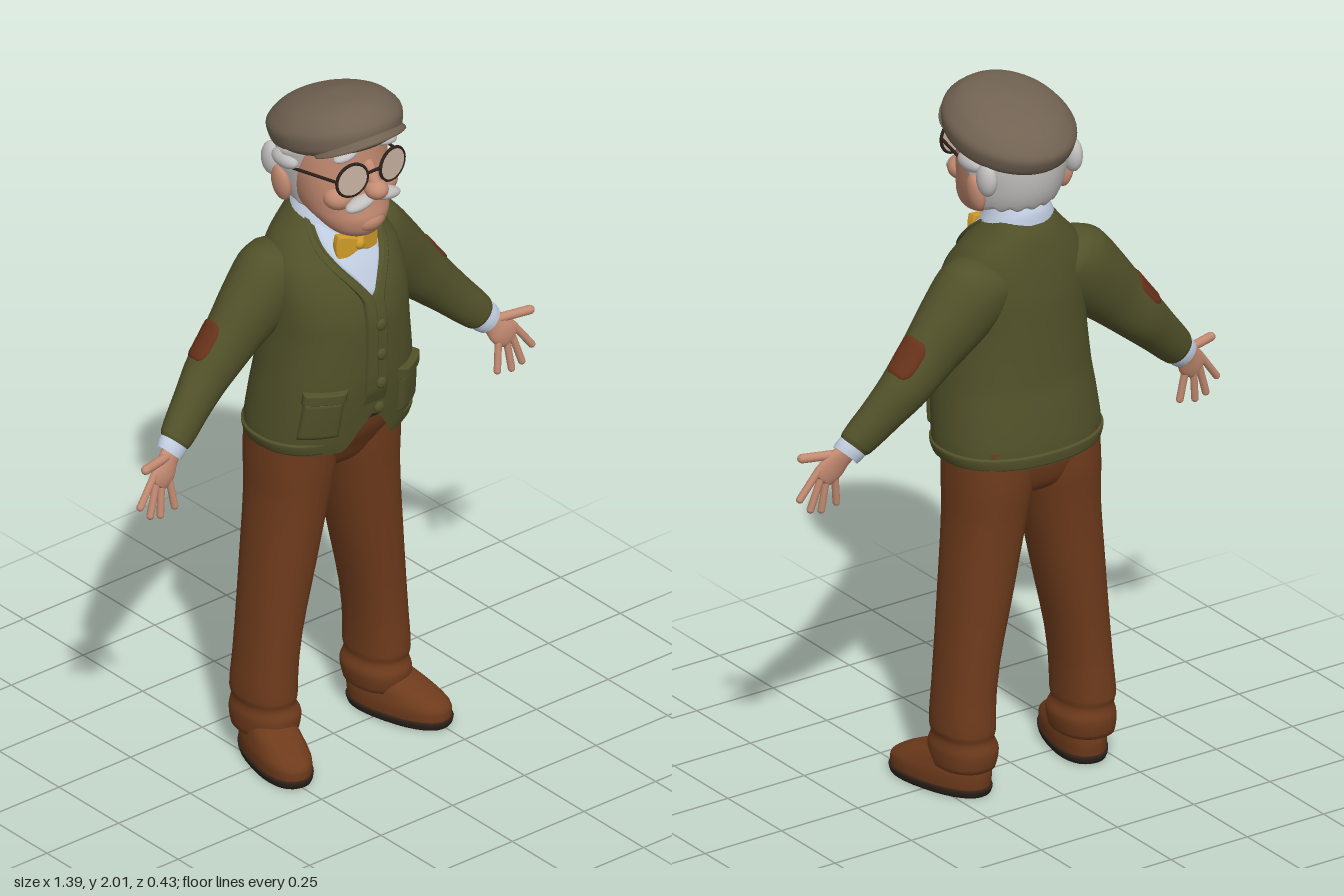
import * as THREE from 'three';
import { mergeVertices } from 'three/addons/utils/BufferGeometryUtils.js';

const TAU = Math.PI * 2;
const mat = (name, color, side = THREE.FrontSide) => {
  const m = new THREE.MeshStandardMaterial({ color, side });
  m.name = name;
  return m;
};

// Smooth surface from a rule fn(u, v) -> [x, y, z]; u runs anticlockwise seen from above, v runs up
function grid(fn, nu, nv) {
  const pos = [], idx = [];
  for (let j = 0; j <= nv; j++) for (let i = 0; i <= nu; i++) pos.push(...fn(i / nu, j / nv));
  for (let j = 0; j < nv; j++) for (let i = 0; i < nu; i++) {
    const a = j * (nu + 1) + i, b = a + 1, c = a + nu + 1, d = c + 1;
    idx.push(a, b, d, a, d, c);
  }
  let g = new THREE.BufferGeometry();
  g.setAttribute('position', new THREE.Float32BufferAttribute(pos, 3));
  g.setIndex(idx);
  g = mergeVertices(g, 1e-5);
  g.computeVertexNormals();
  return g;
}

// Rounded column through sections [y, centreX, centreZ, radiusX, radiusZ]; gives a point for angle a and height y
function column(secs, pow = 1) {
  const slope = (i, k) => {
    const d = n => (secs[n + 1][k] - secs[n][k]) / (secs[n + 1][0] - secs[n][0]);
    if (i === 0) return d(0);
    if (i === secs.length - 1) return d(i - 1);
    const p = d(i - 1), q = d(i);
    return p * q <= 0 ? 0 : 2 * p * q / (p + q);
  };
  const bend = s => Math.sign(s) * Math.abs(s) ** pow;
  return (a, y) => {
    let i = 0;
    while (i < secs.length - 2 && y > secs[i + 1][0]) i++;
    const h = secs[i + 1][0] - secs[i][0];
    const t = THREE.MathUtils.clamp((y - secs[i][0]) / h, 0, 1), s = 1 - t;
    const val = k => secs[i][k] * (1 + 2 * t) * s * s + secs[i + 1][k] * (3 - 2 * t) * t * t
      + h * t * s * (slope(i, k) * s - slope(i + 1, k) * t);
    return [val(1) + val(3) * bend(Math.sin(a)), y, val(2) + val(4) * bend(Math.cos(a))];
  };
}

// Closed column mesh, four rows per section
function loft(secs, n = 32, pow = 1) {
  const f = column(secs, pow), k = secs.length - 1;
  return grid((u, v) => {
    const i = Math.min(k - 1, Math.floor(v * k + 1e-6)), t = v * k - i;
    return f(u * TAU, secs[i][0] + t * (secs[i + 1][0] - secs[i][0]));
  }, n, k * 4);
}

// Raised panel that follows a column, with its edges tucked in
function patch(surf, at, h, nu = 24, nv = 24) {
  return grid((u, v) => {
    const [a, y] = at(u, v), p = surf(a, y);
    const e = Math.min(1, 10 * Math.min(u, 1 - u, v, 1 - v));
    const off = -0.004 + (h + 0.004) * e;
    return [p[0] + Math.sin(a) * off, y, p[2] + Math.cos(a) * off];
  }, nu, nv);
}

const blob = (x, y, z, sx, sy, sz, rz = 0) =>
  new THREE.SphereGeometry(1, 20, 14).scale(sx, sy, sz).rotateZ(rz).translate(x, y, z);

// Round-ended rod between two points
function rod(a, b, r) {
  const p = new THREE.Vector3(...a), d = new THREE.Vector3(...b).sub(p), len = d.length();
  const q = new THREE.Quaternion().setFromUnitVectors(new THREE.Vector3(0, 1, 0), d.clone().normalize());
  return new THREE.CapsuleGeometry(r, len, 5, 10).applyQuaternion(q).translate(...p.addScaledVector(d, 0.5).toArray());
}

function mirror(geo) {
  const g = mergeVertices(geo.clone());
  g.applyMatrix4(new THREE.Matrix4().makeScale(-1, 1, 1));
  const ix = g.index.array;
  for (let i = 0; i < ix.length; i += 3) [ix[i], ix[i + 1]] = [ix[i + 1], ix[i]];
  return g;
}

export function createModel() {
  const root = new THREE.Group();
  root.name = 'elderlyMan';
  const knit = mat('olive knit', 0x51512a, THREE.DoubleSide);
  const brown = mat('brown cloth', 0x6e3b1c);
  const flesh = mat('skin', 0xc48b72);
  const grey = mat('grey hair', 0xc2c0be);
  const tweed = mat('taupe cap', 0x716252);
  const linen = mat('pale shirt', 0xc0cde0, THREE.DoubleSide);
  const gold = mat('gold tie', 0xd09a28);
  const rust = mat('rust patch', 0x68321a);
  const glass = mat('lens', 0xc9b3a3);
  const dark = mat('dark trim', 0x2b2119);
  const add = (name, geo, m) => {
    const mesh = new THREE.Mesh(geo, m);
    mesh.name = name;
    root.add(mesh);
  };
  const pair = (name, geo, m) => {
    add(name + 'Left', geo, m);
    add(name + 'Right', mirror(geo), m);
  };

  // Trousers, belt and shoes
  pair('trouserLeg', loft([[0.075, 0.195, -0.055, 0, 0], [0.08, 0.195, -0.055, 0.078, 0.1], [0.13, 0.193, -0.055, 0.084, 0.108],
    [0.165, 0.196, -0.057, 0.074, 0.098], [0.19, 0.197, -0.057, 0.078, 0.103], [0.3, 0.19, -0.055, 0.077, 0.1],
    [0.6, 0.148, -0.052, 0.094, 0.112], [0.8, 0.12, -0.05, 0.106, 0.125], [0.9, 0.11, -0.05, 0.115, 0.135],
    [1.02, 0.1, -0.045, 0.12, 0.14]], 32, 0.9), brown);
  add('trouserSeat', loft([[0.85, 0, -0.05, 0, 0], [0.87, 0, -0.05, 0.11, 0.1], [0.92, 0, -0.048, 0.2, 0.13],
    [1, 0, -0.035, 0.213, 0.157], [1.1, 0, -0.025, 0.212, 0.165]], 40, 0.9), brown);
  add('belt', loft([[1.04, 0, -0.025, 0.214, 0.168], [1.075, 0, -0.025, 0.214, 0.17]], 40, 0.9), dark);
  const place = g => g.rotateY(0.27).translate(0.195, 0, -0.06);
  pair('shoe', place(loft([[0.015, 0, 0.08, 0, 0], [0.018, 0, 0.08, 0.072, 0.158], [0.05, 0, 0.078, 0.074, 0.16],
    [0.085, 0, 0.055, 0.068, 0.135], [0.12, 0, 0.015, 0.06, 0.09], [0.15, 0, 0, 0.05, 0.07]], 32, 0.85)), brown);
  pair('shoeSole', place(loft([[0, 0, 0.08, 0, 0], [0.001, 0, 0.08, 0.073, 0.158], [0.022, 0, 0.08, 0.077, 0.164],
    [0.024, 0, 0.08, 0, 0]], 32, 0.85)), dark);

  // Cardigan body with an open notch at the front hem
  const torso = column([[0.96, 0, -0.03, 0.228, 0.174], [1, 0, -0.028, 0.24, 0.181], [1.1, 0, -0.015, 0.232, 0.184],
    [1.2, 0, -0.003, 0.22, 0.182], [1.35, 0, 0, 0.207, 0.178], [1.42, 0, -0.005, 0.207, 0.17],
    [1.5, 0, -0.018, 0.2, 0.148], [1.56, 0, -0.033, 0.172, 0.123], [1.62, 0, -0.045, 0.118, 0.096],
    [1.665, 0, -0.055, 0.082, 0.062]], 0.9);
  add('cardigan', grid((u, v) => {
    const a = (u - 0.5) * TAU, low = 0.965 + 0.11 * Math.max(0, 1 - Math.abs(a - 0.02) / 0.32);
    return torso(a, low + v * (1.665 - low));
  }, 96, 48), knit);
  const vee = y => 1.1 * Math.max(0, (y - 1.42) / 0.235) ** 1.4;
  add('shirtFront', patch(torso, (u, v) => {
    const y = 1.42 + 0.235 * v;
    return [(u * 2 - 1) * vee(y), y];
  }, 0.005), linen);
  pair('cardiganBorder', patch(torso, (u, v) => {
    const y = 1.09 + 0.57 * v;
    return [vee(y) - 0.02 + u * 0.16, y];
  }, 0.011, 16, 50), knit);
  pair('pocket', patch(torso, (u, v) => [0.38 + 0.6 * u, 1.02 + 0.13 * v], 0.012), knit);
  pair('pocketTop', patch(torso, (u, v) => [0.35 + 0.66 * u, 1.14 + 0.035 * v], 0.02), knit);
  add('hem', patch(torso, (u, v) => [0.36 + u * (TAU - 0.72), 0.967 + 0.04 * v], 0.006, 80, 10), knit);
  for (const y of [1.35, 1.26, 1.17, 1.09]) {
    const p = torso(0.03, y);
    add('button', blob(p[0], y, p[2] + 0.013, 0.017, 0.017, 0.009), knit);
  }

  // Collar and bow tie
  add('neck', loft([[1.55, 0, -0.035, 0.075, 0.07], [1.63, 0, -0.03, 0.07, 0.07], [1.74, 0, -0.02, 0.08, 0.08]]), flesh);
  const collar = column([[1.595, 0, -0.02, 0.118, 0.11], [1.64, 0, -0.026, 0.1, 0.1], [1.685, 0, -0.033, 0.08, 0.075]]);
  add('collar', grid((u, v) => {
    const a = u * TAU, p = collar(a, 1.6 + 0.085 * v);
    return [p[0], p[1] - 0.045 * Math.cos(a) * (1 - 0.5 * v), p[2]];
  }, 40, 10), linen);
  const bow = new THREE.Shape();
  bow.moveTo(0, 0.01);
  bow.quadraticCurveTo(0.03, 0.03, 0.06, 0.032);
  bow.quadraticCurveTo(0.07, 0, 0.06, -0.032);
  bow.quadraticCurveTo(0.03, -0.03, 0, -0.01);
  pair('bowTieWing', new THREE.ExtrudeGeometry(bow, { depth: 0.014, bevelSize: 0.005, bevelThickness: 0.006, bevelSegments: 3 })
    .rotateY(0.2).translate(0, 1.57, 0.095), gold);
  add('bowTieKnot', blob(0, 1.57, 0.106, 0.017, 0.019, 0.017), gold);

  // Arms, made hanging straight and then swung outward
  const swing = g => g.rotateZ(0.78).translate(0.17, 1.46, -0.06);
  const armSecs = [[-0.52, 0, 0.032, 0.044, 0.036], [-0.505, 0, 0.03, 0.051, 0.042], [-0.4, 0, 0.012, 0.062, 0.052],
    [-0.3, 0, 0, 0.074, 0.064], [-0.2, 0, 0, 0.087, 0.07], [-0.1, 0, 0, 0.102, 0.085], [0, 0, 0, 0.112, 0.095],
    [0.06, -0.01, 0, 0.098, 0.09], [0.13, -0.03, 0, 0, 0]];
  pair('sleeve', swing(loft(armSecs)), knit);
  const arm = column(armSecs);
  pair('elbowPatch', swing(patch(arm, (u, v) => {
    const r = Math.sqrt(Math.max(0, 1 - (2 * v - 1) ** 4));
    return [1.8 + (u - 0.5) * 1.5 * r, -0.31 + 0.125 * v];
  }, 0.004)), rust);
  pair('shirtCuff', swing(loft([[-0.55, 0, 0.038, 0.042, 0.035], [-0.53, 0, 0.035, 0.045, 0.037], [-0.49, 0, 0.03, 0.043, 0.034]])), linen);
  pair('palm', swing(loft([[-0.646, -0.004, 0.062, 0, 0], [-0.638, -0.004, 0.062, 0.034, 0.012], [-0.6, -0.004, 0.058, 0.042, 0.018],
    [-0.56, 0, 0.048, 0.034, 0.02], [-0.51, 0, 0.036, 0.03, 0.026]])), flesh);
  const fingers = [[0.026, -0.62, 0.002, -0.722 + 0.005], [0.006, -0.63, -0.04, -0.72], [-0.016, -0.63, -0.072, -0.702], [-0.035, -0.61, -0.1, -0.66]];
  fingers[0][2] = 0.012;
  for (const [x0, y0, x1, y1] of fingers) pair('finger', swing(rod([x0, y0, 0.061], [x1, y1, 0.07], 0.0105)), flesh);
  pair('thumb', swing(rod([0.018, -0.565, 0.055], [0.084, -0.626, 0.078], 0.013)), flesh);

  // Head and face
  const headSecs = [[1.605, 0, 0.1, 0, 0], [1.612, 0, 0.1, 0.04, 0.04], [1.63, 0, 0.092, 0.075, 0.07], [1.66, 0, 0.07, 0.1, 0.104],
    [1.69, 0, 0.04, 0.116, 0.136], [1.75, 0, 0.023, 0.13, 0.142], [1.82, 0, 0.012, 0.138, 0.137],
    [1.9, 0, 0.01, 0.135, 0.135], [1.96, 0, 0, 0.08, 0.08]];
  add('head', loft(headSecs, 40), flesh);
  add('chin', blob(0, 1.665, 0.145, 0.05, 0.035, 0.036), flesh);
  add('nose', blob(0, 1.77, 0.18, 0.033, 0.028, 0.034), flesh);
  add('noseBridge', rod([0, 1.83, 0.145], [0, 1.78, 0.178], 0.018), flesh);
  pair('cheek', blob(0.075, 1.745, 0.112, 0.045, 0.036, 0.042), flesh);
  pair('ear', blob(0.145, 1.745, -0.045, 0.021, 0.056, 0.034, -0.15), flesh);
  pair('moustache', blob(0.043, 1.737, 0.165, 0.05, 0.018, 0.026, -0.2), grey);
  pair('eyebrow', blob(0.068, 1.878, 0.132, 0.04, 0.014, 0.022, -0.15), grey);

  // Hair behind and above the ears
  const head = column(headSecs);
  add('hair', patch(head, (u, v) => {
    const a = 2 - 0.75 * v;
    return [a + u * (TAU - 2 * a), 1.672 + 0.21 * v + 0.006 * Math.sin(u * 50)];
  }, 0.027, 64, 20), grey);
  pair('hairTuft', blob(0.148, 1.83, -0.025, 0.024, 0.026, 0.05, 0.5), grey);
  pair('hairLock', blob(0.14, 1.8, -0.09, 0.026, 0.05, 0.035), grey);

  // Spectacles
  const face = g => g.rotateY(0.15).translate(0.07, 1.815, 0.162);
  pair('lens', face(new THREE.CylinderGeometry(0.047, 0.047, 0.006, 24).rotateX(Math.PI / 2)), glass);
  pair('lensRim', face(new THREE.TorusGeometry(0.048, 0.0045, 8, 28)), dark);
  add('spectacleBridge', rod([-0.022, 1.825, 0.172], [0.022, 1.825, 0.172], 0.0045), dark);
  pair('spectacleArm', rod([0.118, 1.822, 0.153], [0.15, 1.805, -0.04], 0.0045), dark);

  // Flat cap, tilted down at the back, with an arched peak
  add('cap', loft([[-0.04, 0, 0, 0, 0], [-0.039, 0, 0, 0.145, 0.165], [-0.015, 0, 0, 0.172, 0.193], [0.02, 0, 0, 0.177, 0.199],
    [0.06, 0, 0.005, 0.15, 0.168], [0.088, 0, 0.015, 0.1, 0.115], [0.106, 0, 0.02, 0, 0]], 48)
    .rotateX(-0.24).translate(0.01, 1.89, -0.005), tweed);
  add('capPeak', grid((u, v) => {
    const a = (v * 2 - 1) * 1.15, t = -u * TAU, w = 0.034 * Math.sqrt(Math.max(0, 1 - (2 * v - 1) ** 4));
    const r = w * Math.cos(t), c = Math.cos(a);
    return [0.005 + (0.15 + r) * Math.sin(a), 1.835 + 0.1 * c + 0.3 * w * Math.sin(t) - 0.2 * r, 0.01 + (0.162 + r) * c];
  }, 16, 32), tweed);

  return root;
}
